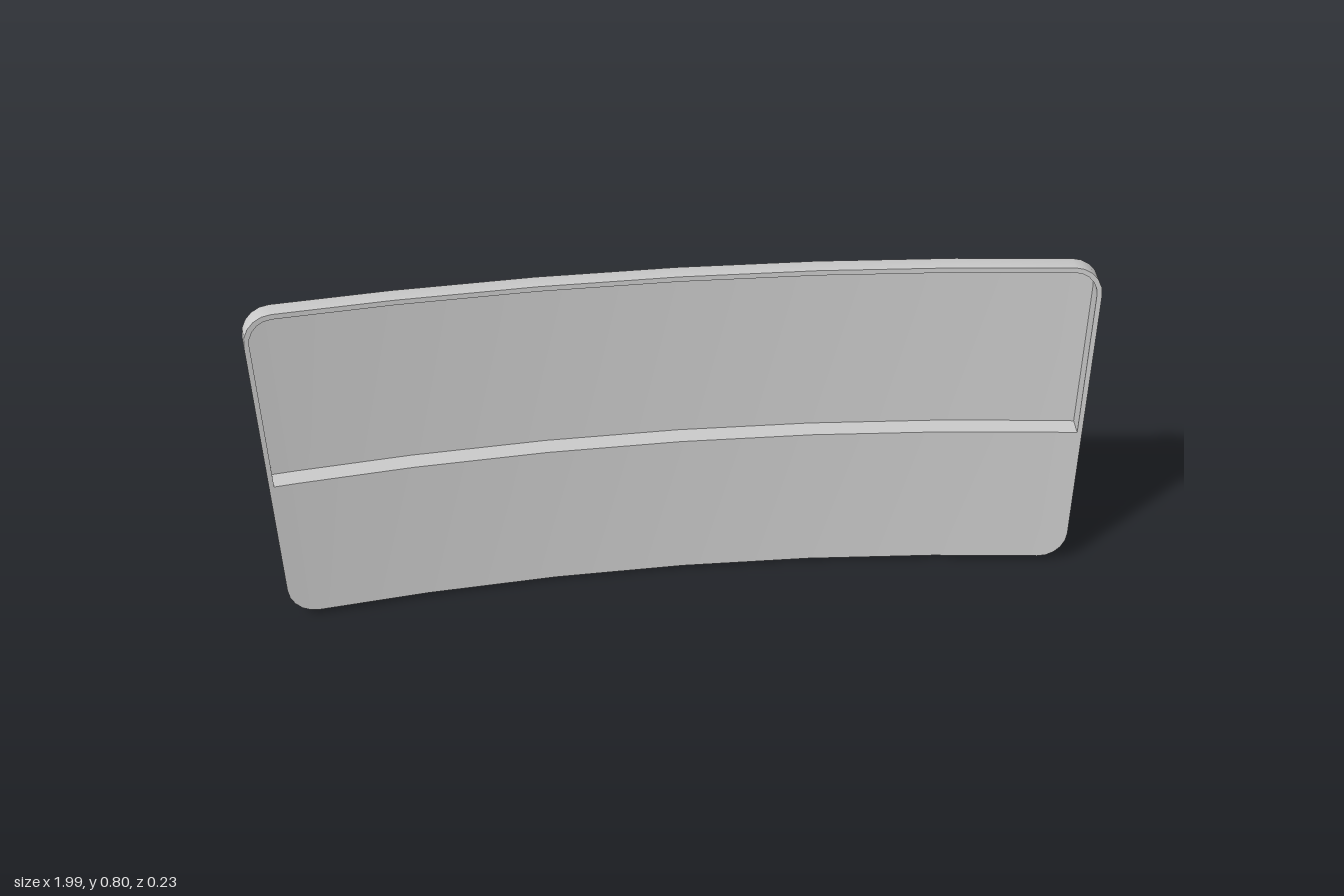
import * as THREE from 'three';
import { toCreasedNormals } from 'three/addons/utils/BufferGeometryUtils.js';

const H = 0.795, W = 1.003, R = 5.5; // panel height, half width, bend radius
const THICK = 0.072, WALL = 0.012, SPLIT = 0.36;
const ARC_STEPS = 5;

// Closed loop of a rounded rectangle: bottom edge left to right, then top edge back.
// d is the depth measured forward from the back face; the sheet is bent and tapered.
function ring(inset, d, v0 = inset, squareBottom = false) {
  const hw = W - inset, r = 0.07 - inset, v1 = H - inset;
  const cols = [];
  for (let i = 0; i <= ARC_STEPS; i++) {
    const a = (i / ARC_STEPS) * Math.PI / 2;
    cols.push({ u: -(hw - r) - r * Math.cos(a), cut: r - r * Math.sin(a) });
  }
  const right = cols.map(c => ({ u: -c.u, cut: c.cut })).reverse();
  [-0.66, -0.33, 0, 0.33, 0.66].forEach(u => cols.push({ u, cut: 0 }));
  cols.push(...right);
  const place = (u, v) => {
    const angle = u * (1 - 0.018 * (1 - v / H)) / R;
    return [(R - d) * Math.sin(angle), v, R - (R - d) * Math.cos(angle)];
  };
  const bottom = cols.map(c => place(c.u, v0 + (squareBottom ? 0 : c.cut)));
  const top = cols.map(c => place(c.u, v1 - c.cut));
  return [...bottom, ...top.reverse()];
}

// Skins the loops in order and closes the first and last with strips.
function loft(rings) {
  const n = rings[0].length, pos = rings.flat(2), idx = [];
  const quad = (a, b, c, d) => idx.push(a, b, c, a, c, d);
  for (let k = 0; k < rings.length - 1; k++) {
    for (let i = 0; i < n; i++) {
      const j = (i + 1) % n;
      quad(k * n + i, k * n + j, (k + 1) * n + j, (k + 1) * n + i);
    }
  }
  const last = (rings.length - 1) * n;
  for (let i = 0; i < n / 2 - 1; i++) {
    const t = n - 1 - i;
    quad(i, t, t - 1, i + 1);
    quad(last + i, last + i + 1, last + t - 1, last + t);
  }
  const g = new THREE.BufferGeometry();
  g.setAttribute('position', new THREE.Float32BufferAttribute(pos, 3));
  g.setIndex(idx);
  return toCreasedNormals(g, 0.6);
}

export function createModel() {
  const model = new THREE.Group();
  model.name = 'curvedPanel';
  const material = new THREE.MeshStandardMaterial({ color: 0xcccccc });

  // everything leans back together
  const tilted = new THREE.Group();
  tilted.name = 'tiltedAssembly';
  tilted.rotation.x = -0.096;
  tilted.position.set(0, 0.004, -0.037);
  model.add(tilted);

  // bent tray: rounded back edge, thin rim, solid lower front, deep upper recess
  const tray = new THREE.Mesh(loft([
    ring(0.016, 0),
    ring(0.005, 0.005),
    ring(0, 0.016),
    ring(0, THICK),
    ring(WALL, THICK, SPLIT, true),
    ring(WALL, WALL, SPLIT, true),
  ]), material);
  tray.name = 'tray';
  tilted.add(tray);

  // six-sided domed bolts on the back corners
  const dome = new THREE.SphereGeometry(0.06, 6, 5, 0, Math.PI * 2, 0, Math.PI / 2);
  dome.rotateY(Math.PI / 2);
  dome.rotateX(-Math.PI / 2);
  for (const side of [-1, 1]) {
    for (const [row, y] of [['lower', 0.085], ['upper', 0.705]]) {
      const bolt = new THREE.Mesh(dome, material);
      bolt.name = row + (side > 0 ? 'Left' : 'Right') + 'Bolt';
      bolt.position.set(side * 0.905, y, 0.078);
      tilted.add(bolt);
    }
  }
  return model;
}
